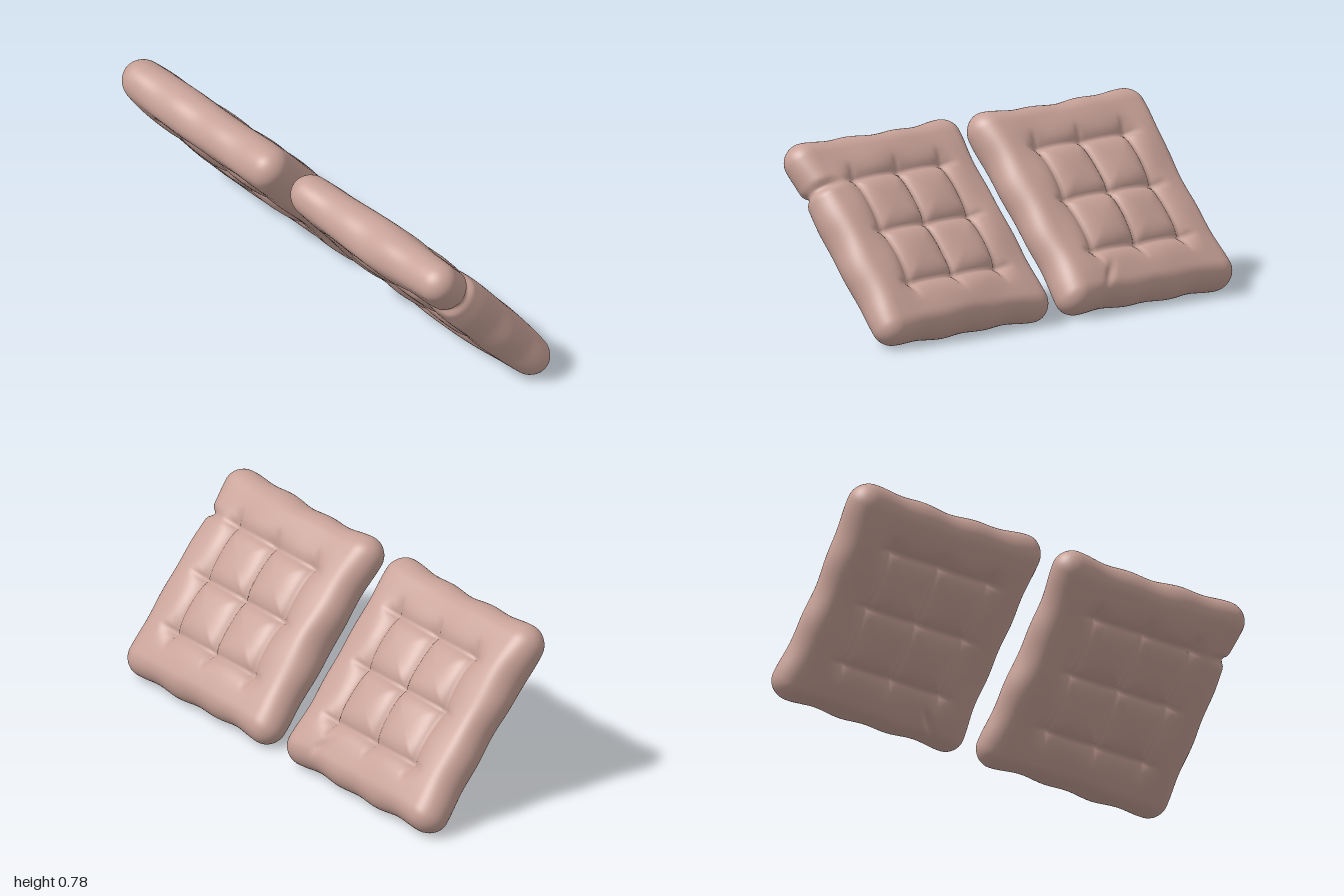
import * as THREE from 'three';
import { mergeVertices } from 'three/addons/utils/BufferGeometryUtils.js';

const HALF = 0.475;   // half side of a cushion
const EDGE = 0.08;    // rounding of the rim
const STEP = 0.25;    // spacing of the tufts
const TUFTS = [-STEP, 0, STEP];

const fabric = new THREE.MeshStandardMaterial({ color: 0xc8a298 });
fabric.name = 'dusty pink fabric';

const clamp = THREE.MathUtils.clamp;
const smooth = THREE.MathUtils.smoothstep;

// Depth of the stitched creases and buttons pulled into the faces
function tuftDepth(a, b) {
  let crease = 0, button = 0;
  for (const t of TUFTS) {
    const alongB = 1 - smooth(Math.abs(b), 0.24, 0.35);
    const alongA = 1 - smooth(Math.abs(a), 0.24, 0.35);
    crease = Math.max(crease,
      alongB * Math.exp(-Math.abs(a - t) / 0.03),
      alongA * Math.exp(-Math.abs(b - t) / 0.03));
    for (const s of TUFTS) {
      button = Math.max(button, Math.exp(-Math.hypot(a - t, b - s) / 0.035));
    }
  }
  return 0.03 * crease + 0.026 * button;
}

// Soft irregular sag, different for each cushion
function sag(a, b, seed) {
  return Math.sin(a * 9 + seed) * Math.cos(b * 8 + seed * 2.3)
    + 0.5 * Math.sin(a * 17 - b * 13 + seed * 1.7);
}

// Folds are { a, b, along, across, angle, depth }: narrow dents in the cloth
function foldDepth(a, b, folds) {
  let d = 0;
  for (const f of folds) {
    const c = Math.cos(f.angle), s = Math.sin(f.angle);
    const p = (a - f.a) * c + (b - f.b) * s, q = (b - f.b) * c - (a - f.a) * s;
    d += f.depth * Math.exp(-((p / f.along) ** 2) - (q / f.across) ** 2);
  }
  return d;
}

function cushionGeometry(seed, folds) {
  const size = HALF * 2;
  const box = new THREE.BoxGeometry(size, EDGE * 2, size, 84, 12, 84);
  box.deleteAttribute('uv');
  box.deleteAttribute('normal');
  const geo = mergeVertices(box);
  const pos = geo.attributes.position;
  const p = new THREE.Vector3(), core = new THREE.Vector3();
  const inner = HALF - EDGE;
  for (let i = 0; i < pos.count; i++) {
    p.fromBufferAttribute(pos, i);
    // round the rim
    core.set(clamp(p.x, -inner, inner), 0, clamp(p.z, -inner, inner));
    const flat = core.x === p.x && core.z === p.z;
    if (flat) p.y = Math.sign(p.y) * EDGE;
    else p.sub(core).setLength(EDGE).add(core);

    const a = p.x, b = p.z;
    const u = clamp(a / HALF, -1, 1), v = clamp(b / HALF, -1, 1);
    // puff up the middle, press in the tufts and folds
    const face = p.y / EDGE;
    const dome = 0.028 * (1 - u ** 4) * (1 - v ** 4);
    const fold = foldDepth(a, b, folds);
    p.y += face * (dome - tuftDepth(a, b) + 0.004 * sag(a, b, seed) - fold);
    p.y += 0.004 * Math.sin(a * 5 + seed) * Math.sin(b * 4 + seed);

    // pull in the sides between the pointed corners, with a gentle ripple
    const rimA = Math.abs(u) ** 6, rimB = Math.abs(v) ** 6;
    const rippleA = 0.004 * Math.cos(b * 2 * Math.PI / STEP + Math.PI) + 0.004 * Math.sin(b * 9 + seed * a);
    const rippleB = 0.004 * Math.cos(a * 2 * Math.PI / STEP + Math.PI) + 0.004 * Math.sin(a * 9 + seed * b);
    p.x += Math.sign(a) * rimA * (rippleA - 0.006 * (1 - v * v) + 0.005 * v ** 8);
    p.z += Math.sign(b) * rimB * (rippleB - 0.016 * (1 - u * u) + 0.005 * u ** 8 - fold * 0.5);
    pos.setXYZ(i, p.x, p.y, p.z);
  }
  geo.computeVertexNormals();
  return geo;
}

export function createModel() {
  const model = new THREE.Group();
  model.name = 'tuftedCushions';
  const cushions = [
    { name: 'frontCushion', z: 0.525, seed: 1.3,
      folds: [{ a: -0.25, b: 0.45, along: 0.09, across: 0.018, angle: Math.PI / 2, depth: 0.028 }] },
    { name: 'rearCushion', z: -0.525, seed: 4.1,
      folds: [{ a: 0.37, b: 0.24, along: 0.06, across: 0.015, angle: 0.7, depth: 0.014 }] },
  ];
  for (const c of cushions) {
    const mesh = new THREE.Mesh(cushionGeometry(c.seed, c.folds), fabric);
    mesh.name = c.name;
    // lean the pad so its tufted face looks up and to +x
    mesh.rotation.z = -0.883;
    mesh.position.set(0, 0.396, c.z);
    model.add(mesh);
  }
  return model;
}
